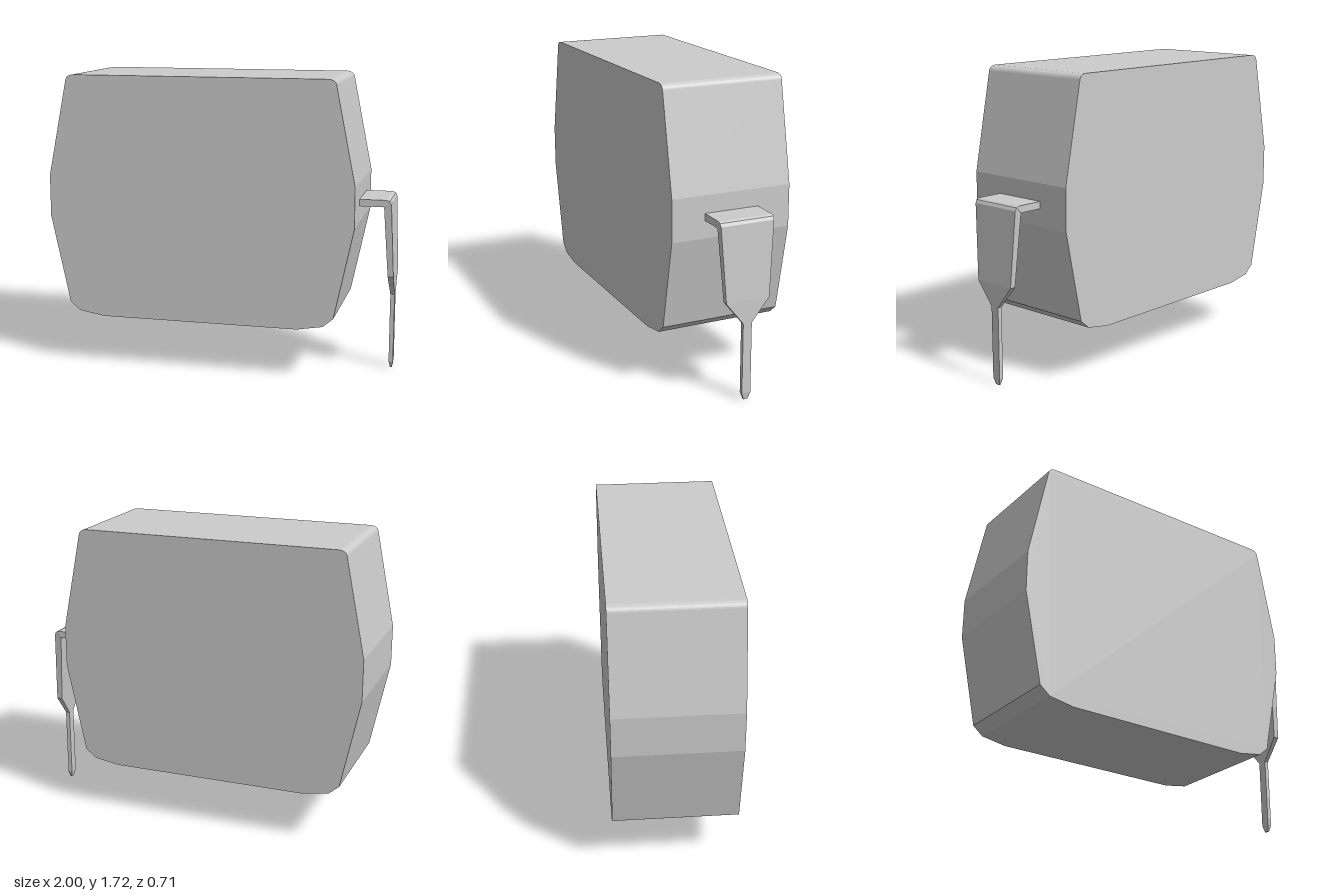
import * as THREE from 'three';

const grey = new THREE.MeshStandardMaterial({ color: 0xcccccc });
const greyFlat = new THREE.MeshStandardMaterial({ color: 0xcccccc, flatShading: true });

// Rectangular strip lofted through stations: [outerX, outerY, innerX, innerY, halfWidth]
function strip(stations) {
  const pos = [], index = [];
  for (const [ox, oy, ix, iy, w] of stations) {
    pos.push(ox, oy, w, ox, oy, -w, ix, iy, -w, ix, iy, w);
  }
  const last = (stations.length - 1) * 4;
  for (let s = 0; s < last; s += 4) {
    for (let k = 0; k < 4; k++) {
      const a = s + k, b = s + (k + 1) % 4;
      index.push(a, a + 4, b + 4, a, b + 4, b);
    }
  }
  index.push(0, 1, 2, 0, 2, 3, last, last + 2, last + 1, last, last + 3, last + 2);
  const g = new THREE.BufferGeometry();
  g.setAttribute('position', new THREE.Float32BufferAttribute(pos, 3));
  g.setIndex(index);
  const flat = g.toNonIndexed();
  flat.computeVertexNormals();
  return flat;
}

export function createModel() {
  const model = new THREE.Group();

  // Body: barrel-sided outline, mirrored about x = -0.1, rounded top corners
  const cx = -0.1, depth = 0.71;
  const half = [[0.58, 0.295], [0.73, 0.32], [0.79, 0.37], [0.9, 0.89], [0.9, 1.13]];
  const shape = new THREE.Shape();
  half.forEach(([x, y], i) => (i ? shape.lineTo(cx + x, y) : shape.moveTo(cx + x, y)));
  shape.lineTo(cx + 0.787, 1.69);
  shape.quadraticCurveTo(cx + 0.78, 1.72, cx + 0.735, 1.72);
  shape.lineTo(cx - 0.735, 1.72);
  shape.quadraticCurveTo(cx - 0.78, 1.72, cx - 0.787, 1.69);
  for (const [x, y] of [...half].reverse()) shape.lineTo(cx - x, y);
  shape.closePath();
  const bodyGeo = new THREE.ExtrudeGeometry(shape, { depth, bevelEnabled: false, curveSegments: 8 });
  bodyGeo.translate(0, 0, -depth / 2);
  const body = new THREE.Mesh(bodyGeo, grey);
  body.name = 'body';
  model.add(body);

  // Bent terminal: flat tab, rounded bend, tapering blade, narrow pin and pointed tip
  const terminal = new THREE.Mesh(strip([
    [0.79, 1.03, 0.79, 0.99, 0.16],
    [0.955, 1.03, 0.938, 0.99, 0.16],
    [0.972, 1.023, 0.939, 0.988, 0.16],
    [0.981, 1.005, 0.94, 0.985, 0.158],
    [1.0, 0.58, 0.967, 0.58, 0.13],
    [1.0, 0.45, 0.975, 0.45, 0.026],
    [1.0, 0.04, 0.975, 0.04, 0.026],
    [0.993, 0, 0.983, 0, 0.013],
  ]), greyFlat);
  terminal.name = 'terminal';
  model.add(terminal);

  return model;
}
